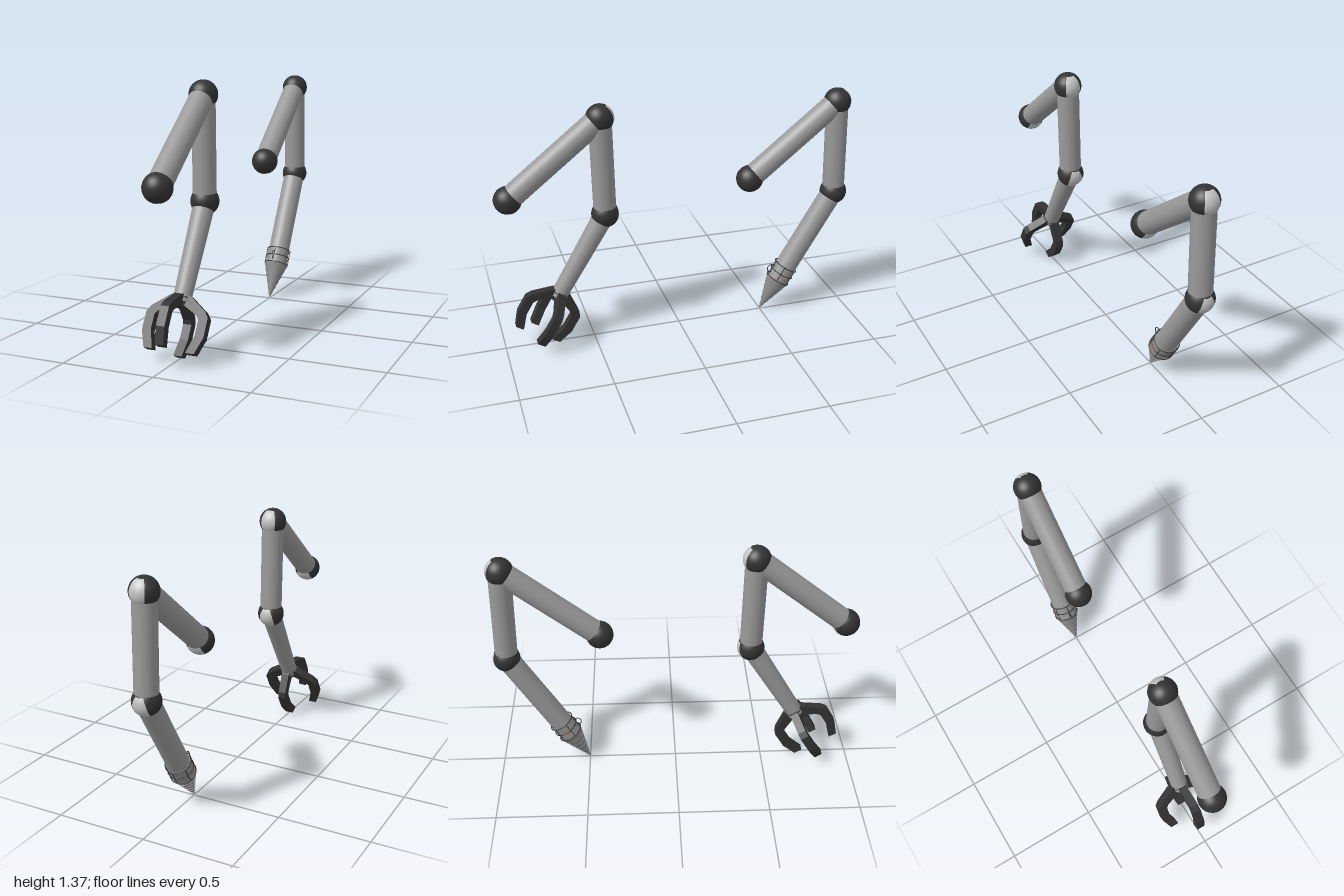
import * as THREE from 'three';

const mat = (name, color) => Object.assign(new THREE.MeshStandardMaterial({ color }), { name });

export function createModel() {
  const armGrey = mat('arm grey', 0x999999);
  const drillGrey = mat('drill grey', 0x8f8f8f);
  const dark = mat('dark rubber', 0x333333);
  const pale = mat('pale cover', 0xc4c4c4);
  const orange = mat('orange wire', 0xb8682c);
  const model = new THREE.Group();
  model.name = 'armPair';

  const add = (parent, name, geo, material, y = 0) => {
    const m = new THREE.Mesh(geo, material);
    m.name = name;
    m.position.y = y;
    parent.add(m);
    return m;
  };

  // Group placed at a (z, y) point with its local y axis along a (z, y) direction
  const frame = (parent, name, [z, y], [dz, dy]) => {
    const g = new THREE.Group();
    g.name = name;
    g.position.set(0, y, z);
    g.rotation.x = Math.atan2(dz, dy);
    parent.add(g);
    return g;
  };

  // Ball joint with a pale cover on its back
  const R = 0.075;
  const joint = (parent, name, at, axis) => {
    const g = frame(parent, name, at, axis);
    add(g, 'ball', new THREE.SphereGeometry(R, 32, 24), dark);
    const half = 0.6;
    add(g, 'cover', new THREE.SphereGeometry(R + 0.0006, 14, 14,
      1.5 * Math.PI - half, 2 * half, 0.5, Math.PI - 1), pale);
  };

  // Round limb between two (z, y) points
  const limb = (parent, name, a, b, r0, r1) => {
    const d = [b[0] - a[0], b[1] - a[1]];
    const len = Math.hypot(...d);
    const g = frame(parent, name, a, d);
    add(g, 'tube', new THREE.CylinderGeometry(r1, r0, len, 32), armGrey, len / 2);
  };

  // Shoulder, elbow, wrist and the three limbs; returns the tool frame, y pointing to the tool tip
  const arm = (name, shoulder, elbow, wrist, end, r0, r1) => {
    const g = new THREE.Group();
    g.name = name;
    model.add(g);
    const dir = (a, b) => [b[0] - a[0], b[1] - a[1]];
    joint(g, 'shoulder', shoulder, dir(shoulder, elbow));
    joint(g, 'elbow', elbow, dir(wrist, elbow));
    joint(g, 'wrist', wrist, dir(end, wrist));
    limb(g, 'upperArm', shoulder, elbow, 0.0625, 0.0625);
    limb(g, 'middleArm', elbow, wrist, 0.0615, 0.0615);
    limb(g, 'forearm', wrist, end, r0, r1);
    return frame(g, 'tool', end, dir(wrist, end));
  };

  // Front arm with a four-fingered claw
  const claw = arm('clawArm', [0.927, 0.903], [0.425, 1.302], [0.414, 0.757], [0.692, 0.292], 0.057, 0.046);
  add(claw, 'palm', new THREE.CylinderGeometry(0.036, 0.048, 0.05, 16), dark, 0);
  const outline = [[0.02, -0.04], [0.055, -0.032], [0.147, 0.036], [0.168, 0.065], [0.168, 0.165],
    [0.137, 0.25], [0.09, 0.25], [0.12, 0.158], [0.12, 0.08], [0.105, 0.06], [0.02, 0.015]];
  const fingerGeo = new THREE.ExtrudeGeometry(
    new THREE.Shape(outline.map(([x, y]) => new THREE.Vector2(x, y))),
    { depth: 0.046, bevelEnabled: false }).translate(0, 0, -0.023);
  for (let i = 0; i < 4; i++) {
    add(claw, 'finger', fingerGeo, dark).rotation.y = i * Math.PI / 2;
  }

  // Back arm with a stepped drill
  const drill = arm('drillArm', [-0.41, 0.859], [-0.911, 1.261], [-0.923, 0.72], [-0.654, 0.272], 0.0615, 0.0615);
  add(drill, 'drillCollar', new THREE.CylinderGeometry(0.066, 0.063, 0.092, 32), drillGrey, 0.046);
  const steps = 6, y0 = 0.092, y1 = 0.307;
  for (let i = 0; i < steps; i++) {
    const h = (y1 - y0) / steps;
    const r = (k) => 0.07 * (1 - k / steps);
    const top = i === steps - 1 ? 0 : r(i + 1) - 0.002;
    add(drill, 'drillStep', new THREE.CylinderGeometry(top, r(i) + 0.002, h, 32), drillGrey, y0 + h * (i + 0.5));
  }
  // Wire rings, uprights and loops round the collar
  for (const y of [0, 0.046, 0.092]) {
    add(drill, 'wireRing', new THREE.TorusGeometry(0.07, 0.0028, 6, 40), dark, y).rotation.x = Math.PI / 2;
  }
  for (let i = 0; i < 6; i++) {
    const a = (i + 0.5) * Math.PI / 3;
    const bar = add(drill, 'wireUpright', new THREE.CylinderGeometry(0.0025, 0.0025, 0.092, 6), dark, 0.046);
    bar.position.x = 0.07 * Math.cos(a);
    bar.position.z = 0.07 * Math.sin(a);
  }
  const loop = add(drill, 'wireLoop', new THREE.TorusGeometry(0.023, 0.0025, 6, 24), dark, 0.05);
  loop.position.z = -0.076;
  loop.rotation.y = Math.PI / 2;
  for (const s of [-1, 1]) {
    const path = new THREE.CatmullRomCurve3([
      new THREE.Vector3(s * 0.068, 0.03, 0.01), new THREE.Vector3(s * 0.074, 0.05, -0.01),
      new THREE.Vector3(s * 0.058, 0.065, -0.042)]);
    add(drill, 'feedWire', new THREE.TubeGeometry(path, 12, 0.002, 6), orange);
  }

  return model;
}
